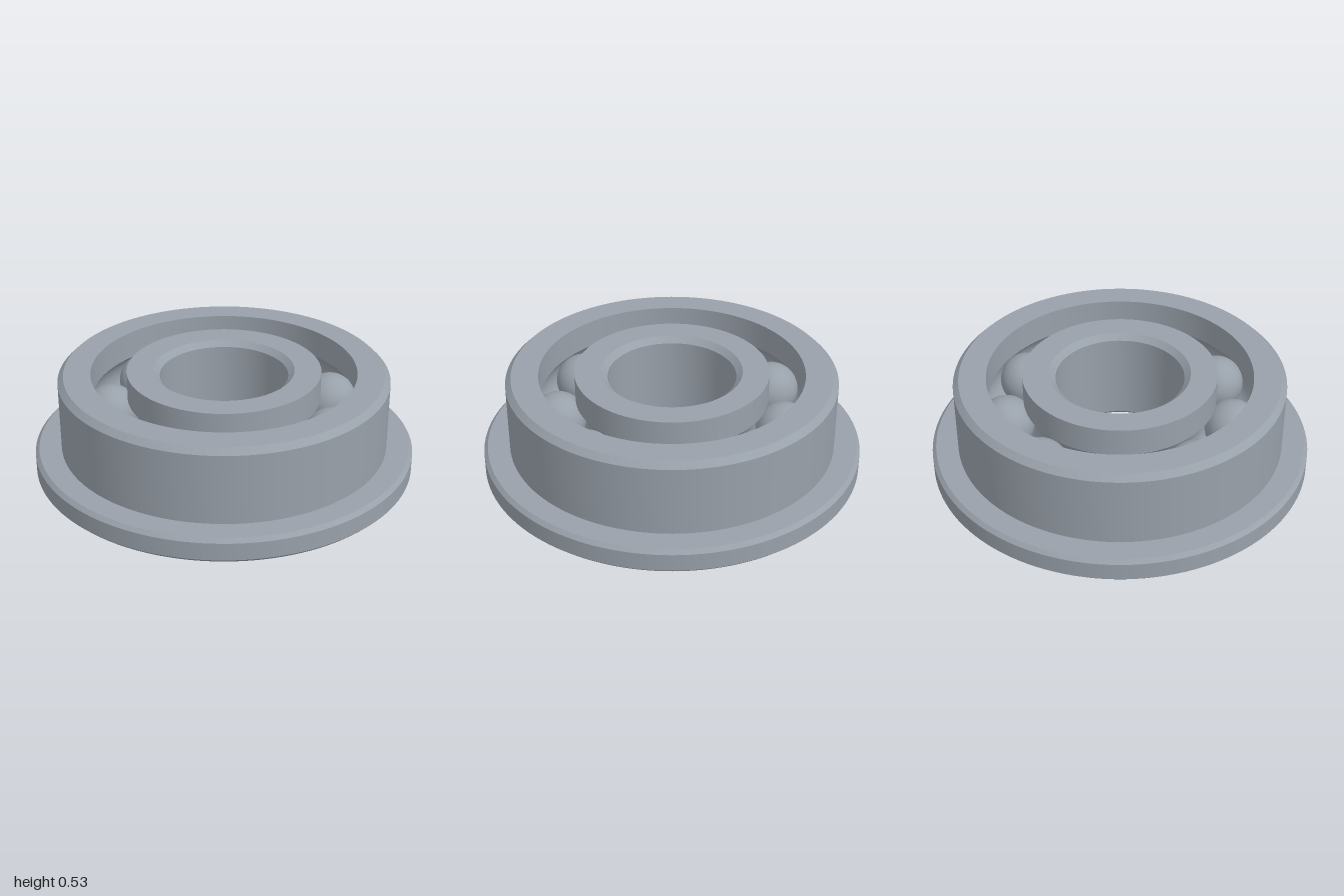
import * as THREE from 'three';
import { toCreasedNormals } from 'three/addons/utils/BufferGeometryUtils.js';

const HEIGHT = 0.533;
const MID = HEIGHT / 2;
const PITCH = 0.599; // radius of the circle of ball centres
const BALL = 0.146;
const GROOVE = 0.149;
const OUTER_BORE = 0.692;
const INNER_RIM = 0.506;

export function createModel() {
  const steel = new THREE.MeshStandardMaterial({ color: 0x98a0a9 });
  steel.name = 'steel';
  const group = new THREE.Group();
  group.name = 'flangedBallBearing';

  // Arc of the ball track in the profile plane, as [radius, height] points
  const arc = (from, to, steps = 14) =>
    Array.from({ length: steps + 1 }, (_, i) => {
      const a = from + ((to - from) * i) / steps;
      return [PITCH + GROOVE * Math.cos(a), MID + GROOVE * Math.sin(a)];
    });

  // Closed ring turned from a counterclockwise profile
  const addRing = (name, profile) => {
    const points = [...profile, profile[0]].map(([r, y]) => new THREE.Vector2(r, y));
    const geometry = toCreasedNormals(new THREE.LatheGeometry(points, 128), 0.35);
    const mesh = new THREE.Mesh(geometry, steel);
    mesh.name = name;
    group.add(mesh);
  };

  // Outer ring with chamfered flange and inner ball track
  const a = Math.acos((OUTER_BORE - PITCH) / GROOVE);
  addRing('outerRing', [
    [OUTER_BORE, 0], [0.98, 0], [1, 0.02], [1, 0.113], [0.98, 0.133],
    [0.863, 0.133], [0.863, 0.503], [0.833, HEIGHT], [OUTER_BORE, HEIGHT],
    ...arc(a, -a),
  ]);

  // Inner ring with chamfered bore and outer ball track
  const b = Math.acos((PITCH - INNER_RIM) / GROOVE);
  addRing('innerRing', [
    [0.367, 0], [INNER_RIM, 0],
    ...arc(Math.PI + b, Math.PI - b),
    [INNER_RIM, HEIGHT], [0.367, HEIGHT], [0.335, 0.503], [0.335, 0.03],
  ]);

  // Nine evenly spaced balls
  const ballGeometry = new THREE.SphereGeometry(BALL, 40, 24);
  for (let i = 0; i < 9; i++) {
    const angle = THREE.MathUtils.degToRad(12 + i * 40);
    const ball = new THREE.Mesh(ballGeometry, steel);
    ball.name = `ball${i + 1}`;
    ball.position.set(PITCH * Math.cos(angle), MID, PITCH * Math.sin(angle));
    group.add(ball);
  }
  return group;
}
